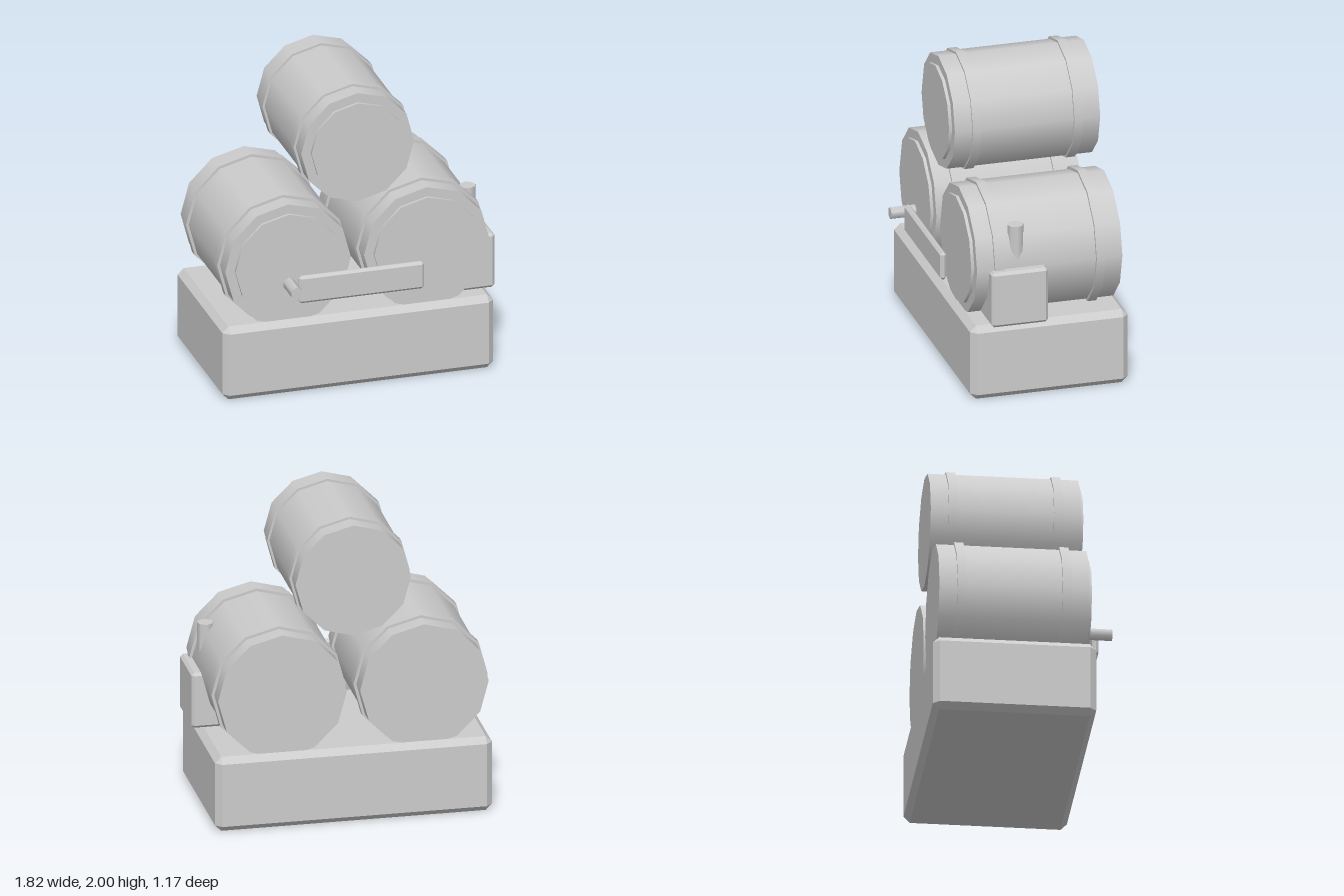
import * as THREE from 'three';
import { ConvexGeometry } from 'three/addons/geometries/ConvexGeometry.js';

const grey = new THREE.MeshStandardMaterial({ color: 0xcccccc });
grey.name = 'plain grey';

function addMesh(parent, name, geometry, x, y, z) {
  const mesh = new THREE.Mesh(geometry, grey);
  mesh.name = name;
  mesh.position.set(x, y, z);
  parent.add(mesh);
  return mesh;
}

// Box with every edge chamfered by c, given by its lower and upper corners
function addChamferedBox(parent, name, min, max, c) {
  const [hx, hy, hz] = max.map((m, i) => (m - min[i]) / 2);
  const points = [];
  for (const sx of [-1, 1]) for (const sy of [-1, 1]) for (const sz of [-1, 1]) {
    points.push(
      new THREE.Vector3(sx * hx, sy * (hy - c), sz * (hz - c)),
      new THREE.Vector3(sx * (hx - c), sy * hy, sz * (hz - c)),
      new THREE.Vector3(sx * (hx - c), sy * (hy - c), sz * hz),
    );
  }
  addMesh(parent, name, new ConvexGeometry(points), min[0] + hx, min[1] + hy, min[2] + hz);
}

// Cylinder lying along z from z0 to z1
function addRound(parent, name, radius, sides, z0, z1, x = 0, y = 0) {
  const geometry = new THREE.CylinderGeometry(radius, radius, z1 - z0, sides);
  geometry.rotateX(Math.PI / 2);
  addMesh(parent, name, geometry, x, y, (z0 + z1) / 2);
}

// Twelve-sided barrel with two hoops and a raised front lid
function addBarrel(parent, name, x, y, body, hoop, lid) {
  const barrel = new THREE.Group();
  barrel.name = name;
  barrel.position.set(x, y, 0);
  addRound(barrel, 'barrelBody', body, 12, -0.545, 0.403);
  addRound(barrel, 'frontHoop', hoop, 12, 0.231, 0.289);
  addRound(barrel, 'rearHoop', hoop, 12, -0.431, -0.373);
  addRound(barrel, 'barrelLid', lid, 12, 0.38, 0.423);
  parent.add(barrel);
}

export function createModel() {
  const model = new THREE.Group();
  model.name = 'barrelStack';

  // Plinth
  addChamferedBox(model, 'base', [-0.91, 0, -0.585], [0.865, 0.498, 0.445], 0.04);

  // Two large barrels below, a smaller one above
  addBarrel(model, 'rightBarrel', -0.478, 0.87, 0.412, 0.43, 0.35);
  addBarrel(model, 'leftBarrel', 0.432, 0.87, 0.412, 0.43, 0.35);
  addBarrel(model, 'topBarrel', -0.022, 1.615, 0.37, 0.385, 0.308);

  // Front plank and tap
  addChamferedBox(model, 'plank', [-0.435, 0.636, 0.466], [0.386, 0.82, 0.508], 0.016);
  addRound(model, 'tap', 0.04, 6, 0.39, 0.587, -0.478, 0.75);

  // Side crate and the peg rising from it
  addChamferedBox(model, 'crate', [0.535, 0.5, -0.047], [0.905, 0.87, 0.322], 0.018);
  addMesh(model, 'peg', new THREE.CylinderGeometry(0.052, 0.052, 0.3, 8), 0.78, 0.99, 0.135);

  return model;
}
